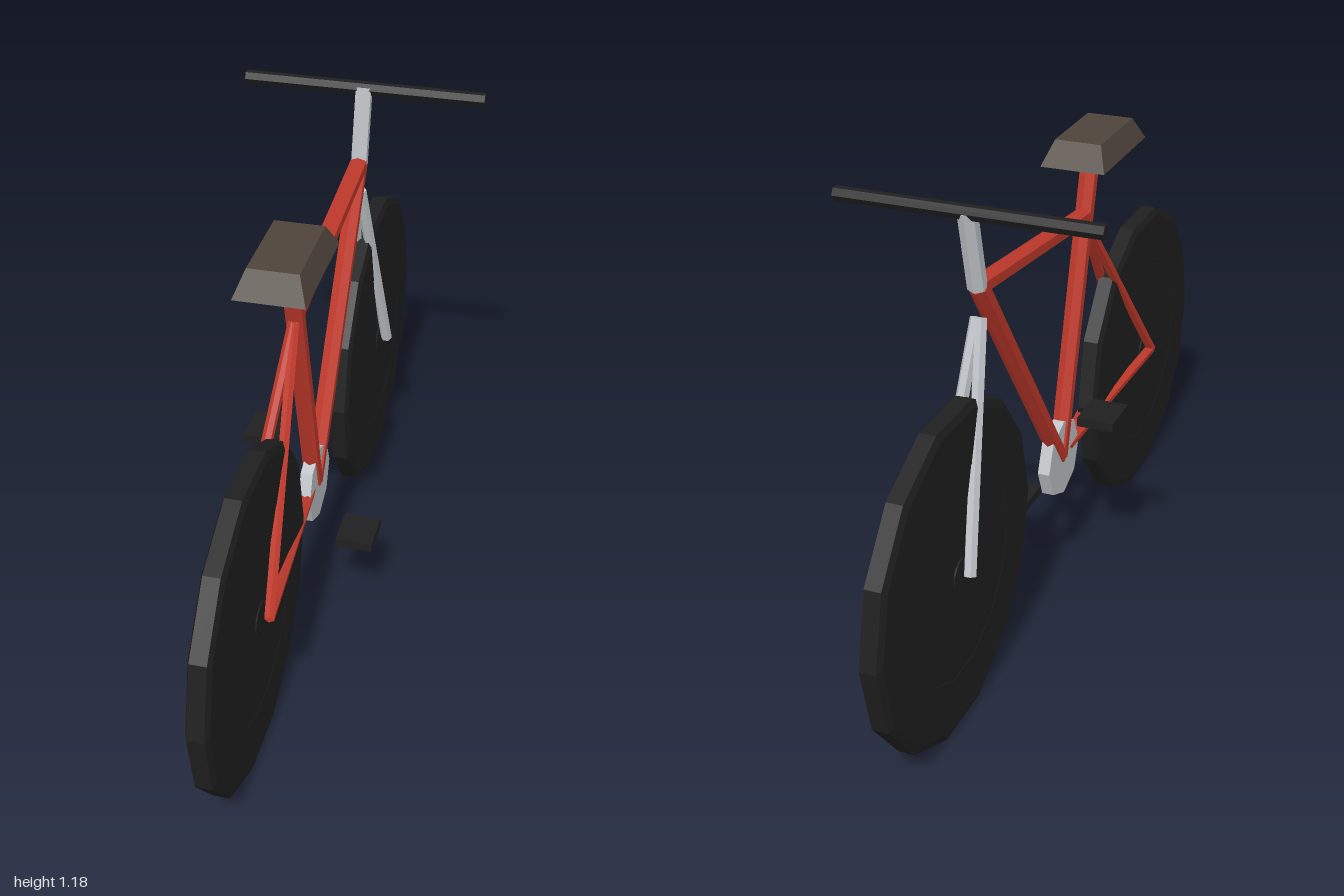
import * as THREE from 'three';

const paint = (name, color) => {
  const m = new THREE.MeshStandardMaterial({ color, flatShading: true });
  m.name = name;
  return m;
};

export function createModel() {
  const red = paint('frame red', 0xc0392b);
  const silver = paint('silver metal', 0xbfc3c7);
  const black = paint('rubber black', 0x1f1f1f);
  const brown = paint('saddle brown', 0x4e443b);

  const bike = new THREE.Group();
  bike.name = 'bicycle';

  const add = (name, geometry, material, x = 0, y = 0, z = 0) => {
    const mesh = new THREE.Mesh(geometry, material);
    mesh.name = name;
    mesh.position.set(x, y, z);
    bike.add(mesh);
    return mesh;
  };

  // Six-sided tube between two points
  const tube = (name, from, to, radius, material) => {
    const a = new THREE.Vector3(...from);
    const b = new THREE.Vector3(...to);
    const dir = b.clone().sub(a);
    const mesh = add(name, new THREE.CylinderGeometry(radius, radius, dir.length(), 6), material);
    mesh.position.copy(a).add(b).multiplyScalar(0.5);
    mesh.quaternion.setFromUnitVectors(new THREE.Vector3(0, 1, 0), dir.normalize());
    return mesh;
  };

  // Solid wheels: half profile (radius, offset) mirrored across the wheel plane
  const half = [[0.393, 0.019], [0.375, 0.026], [0.25, 0.026], [0.248, 0.025], [0.042, 0.025], [0.04, 0.028], [0, 0.028]];
  const profile = [
    ...half.map(([r, h]) => new THREE.Vector2(r, -h)).reverse(),
    ...half.map(([r, h]) => new THREE.Vector2(r, h)),
  ];
  const wheel = new THREE.LatheGeometry(profile, 14).rotateZ(Math.PI / 2);
  const axleY = 0.384;
  const axleZ = 0.607;
  add('rearWheel', wheel, black, 0, axleY, axleZ);
  add('frontWheel', wheel, black, 0, axleY, -axleZ);

  // Main frame triangle
  const bracket = [0, 0.34, 0.03];
  const seatJoint = [0, 0.92, 0.2];
  const headJoint = [0, 0.988, -0.43];
  tube('seatTube', bracket, [0, 1.06, 0.24], 0.023, red);
  tube('topTube', seatJoint, headJoint, 0.023, red);
  tube('downTube', bracket, headJoint, 0.023, red);

  // Paired stays and fork blades, spreading out to the axles
  for (const [side, s] of [['left', 1], ['right', -1]]) {
    const rearAxle = [s * 0.046, 0.39, axleZ];
    tube(side + 'SeatStay', [0, 0.91, 0.2], rearAxle, 0.013, red);
    tube(side + 'ChainStay', bracket, rearAxle, 0.013, red);
    tube(side + 'ForkBlade', [s * 0.005, 0.915, -0.432], [s * 0.046, 0.385, -axleZ], 0.015, silver);
  }

  // Steering
  tube('stem', [0, 0.985, -0.435], [0, 1.173, -0.478], 0.022, silver);
  tube('handlebar', [-0.3, 1.17, -0.48], [0.3, 1.17, -0.48], 0.017, black);

  // Octagonal chainring and pedals
  add('chainring', new THREE.CylinderGeometry(0.1, 0.1, 0.03, 8).rotateZ(Math.PI / 2), silver, ...bracket);
  const pedal = new THREE.BoxGeometry(0.092, 0.022, 0.11);
  add('leftPedal', pedal, black, 0.115, 0.2, 0.03);
  add('rightPedal', pedal, black, -0.115, 0.477, 0.03);

  // Saddle: a block tapering towards the top
  const saddle = new THREE.BoxGeometry(0.16, 0.058, 0.298);
  const p = saddle.attributes.position;
  for (let i = 0; i < p.count; i++) {
    if (p.getY(i) > 0) p.setXYZ(i, p.getX(i) * 0.72, p.getY(i), p.getZ(i) * 0.74);
  }
  saddle.computeVertexNormals();
  add('saddle', saddle, brown, 0, 1.09, 0.263);

  return bike;
}
